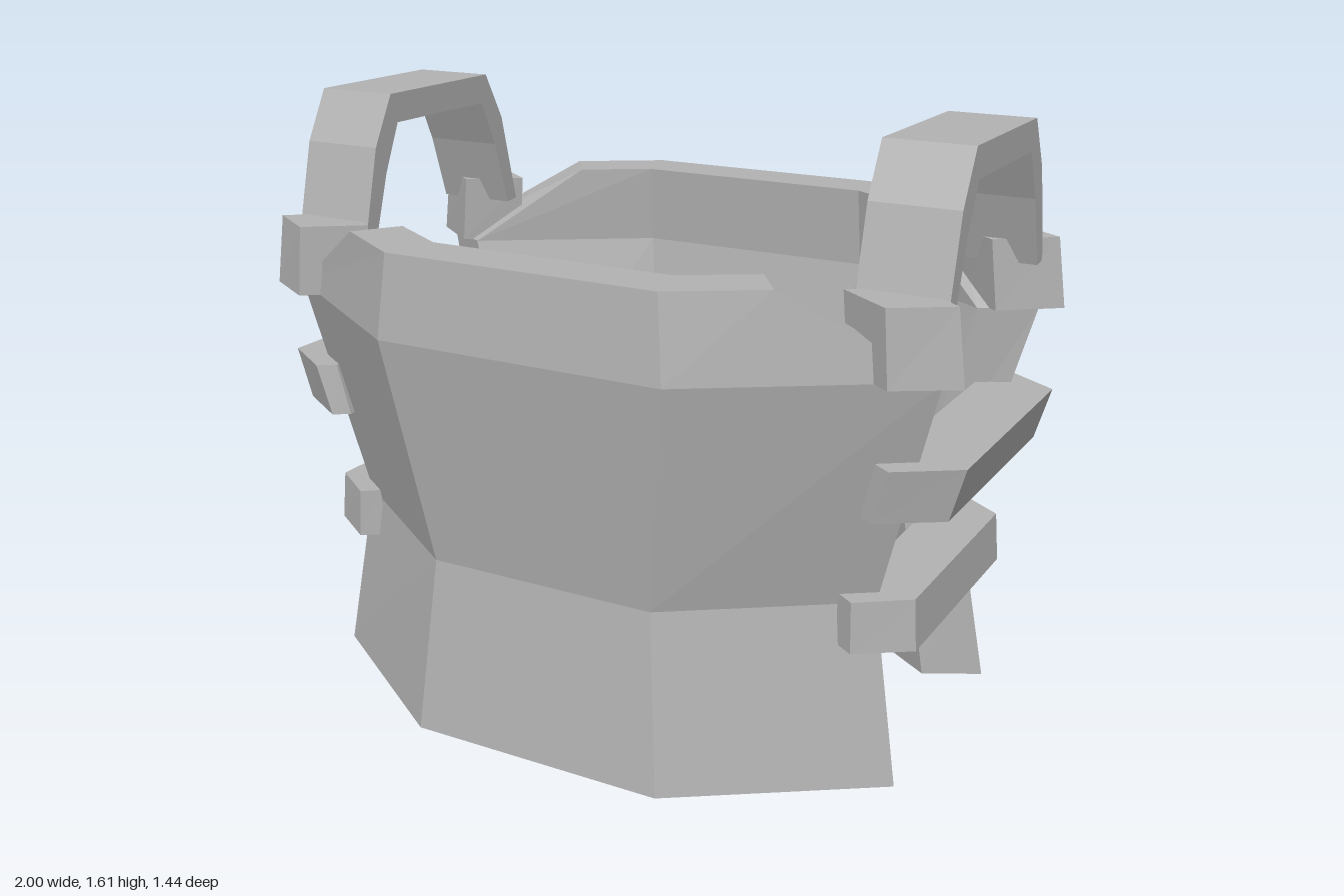
import * as THREE from 'three';

// Stacks cross-sections { y, pts: [[x, z], ...] } into a closed flat-faced solid.
function loft(rows) {
  const loops = rows.map(({ y, pts }) => {
    const p = pts.map(([x, z]) => new THREE.Vector2(x, -z));
    if (THREE.ShapeUtils.area(p) < 0) p.reverse();
    return { y, p };
  });
  const n = loops[0].p.length, top = loops.length - 1, pos = [], idx = [];
  loops.forEach(({ y, p }) => p.forEach(v => pos.push(v.x, y, -v.y)));
  for (let r = 0; r < top; r++) {
    for (let j = 0; j < n; j++) {
      const k = (j + 1) % n, a = r * n + j, b = r * n + k;
      idx.push(a, b, b + n, a, b + n, a + n);
    }
  }
  THREE.ShapeUtils.triangulateShape(loops[0].p, []).forEach(([a, b, c]) => idx.push(a, c, b));
  THREE.ShapeUtils.triangulateShape(loops[top].p, []).forEach(f => idx.push(...f.map(i => i + top * n)));
  const indexed = new THREE.BufferGeometry();
  indexed.setAttribute('position', new THREE.Float32BufferAttribute(pos, 3));
  indexed.setIndex(idx);
  const g = indexed.toNonIndexed();
  g.computeVertexNormals();
  return g;
}

export function createModel() {
  const model = new THREE.Group();
  model.name = 'bodyArmour';
  const grey = new THREE.MeshStandardMaterial({ color: 0xb2b2b2, flatShading: true });
  grey.name = 'plainGrey';
  const add = (name, geometry) => {
    const mesh = new THREE.Mesh(geometry, grey);
    mesh.name = name;
    model.add(mesh);
    return mesh;
  };

  // Chest and back plates: outer middle, outer end, inner end, inner middle at each height
  const plate = [
    [0, [0.36, 0.68], [0.86, 0.34], [0.71, 0.26], [0.31, 0.54]],
    [0.48, [0.32, 0.63], [0.78, 0.31], [0.64, 0.24], [0.28, 0.49]],
    [1.09, [0.40, 0.72], [0.94, 0.365], [0.80, 0.28], [0.345, 0.575]],
    [1.31, [0.38, 0.70], [0.60, 0.56], [0.52, 0.445], [0.34, 0.555]],
  ];
  for (const [name, s] of [['chestPlate', 1], ['backPlate', -1]]) {
    add(name, loft(plate.map(([y, ...half]) => {
      const right = half.map(([x, z]) => [x, z * s]);
      const left = right.map(([x, z]) => [-x, z]).reverse();
      return { y, pts: [...right, ...left] };
    })));
  }

  // Side straps: outer corner, pointed tip and inner corner at bottom and top
  const straps = {
    lowerStrap: [
      [0.375, [0.89, 0.315], [0.755, 0.408], [0.69, 0.363]],
      [0.51, [0.88, 0.31], [0.75, 0.403], [0.705, 0.37]],
    ],
    upperStrap: [
      [0.74, [0.96, 0.335], [0.805, 0.435], [0.765, 0.405]],
      [0.88, [1.0, 0.34], [0.845, 0.443], [0.80, 0.41]],
    ],
  };

  // Shoulder clips gripping the plate corners
  const clip = [
    [1.09, [1.0, 0.395], [0.85, 0.487], [0.71, 0.385], [0.85, 0.28]],
    [1.28, [0.975, 0.39], [0.835, 0.482], [0.69, 0.375], [0.83, 0.275]],
  ];

  // Shoulder arch, half outline mirrored front to back
  const half = [[0.365, 1.22], [0.30, 1.475], [0.225, 1.61]];
  const inner = [[0.20, 1.53], [0.26, 1.40], [0.32, 1.215]];
  const flip = pts => pts.map(([z, y]) => [-z, y]).reverse();
  const outline = [...half, ...flip(half), ...flip(inner), ...inner];
  const archShape = new THREE.Shape(outline.map(([z, y]) => new THREE.Vector2(z, y)));

  for (const [side, s] of [['left', 1], ['right', -1]]) {
    for (const [name, rows] of Object.entries(straps)) {
      add(`${side} ${name}`, loft(rows.map(([y, ...h]) => {
        const front = h.map(([x, z]) => [x * s, z]);
        const back = front.map(([x, z]) => [x, -z]).reverse();
        return { y, pts: [...front, ...back] };
      })));
    }
    for (const [end, e] of [['front', 1], ['back', -1]]) {
      add(`${side} ${end} shoulderClip`,
        loft(clip.map(([y, ...h]) => ({ y, pts: h.map(([x, z]) => [x * s, z * e]) }))));
    }
    const arch = new THREE.ExtrudeGeometry(archShape, { depth: 0.23, bevelEnabled: false });
    arch.rotateY(Math.PI / 2).translate(s * 0.825 - 0.115, 0, 0);
    add(`${side} shoulderArch`, arch);
  }
  return model;
}
